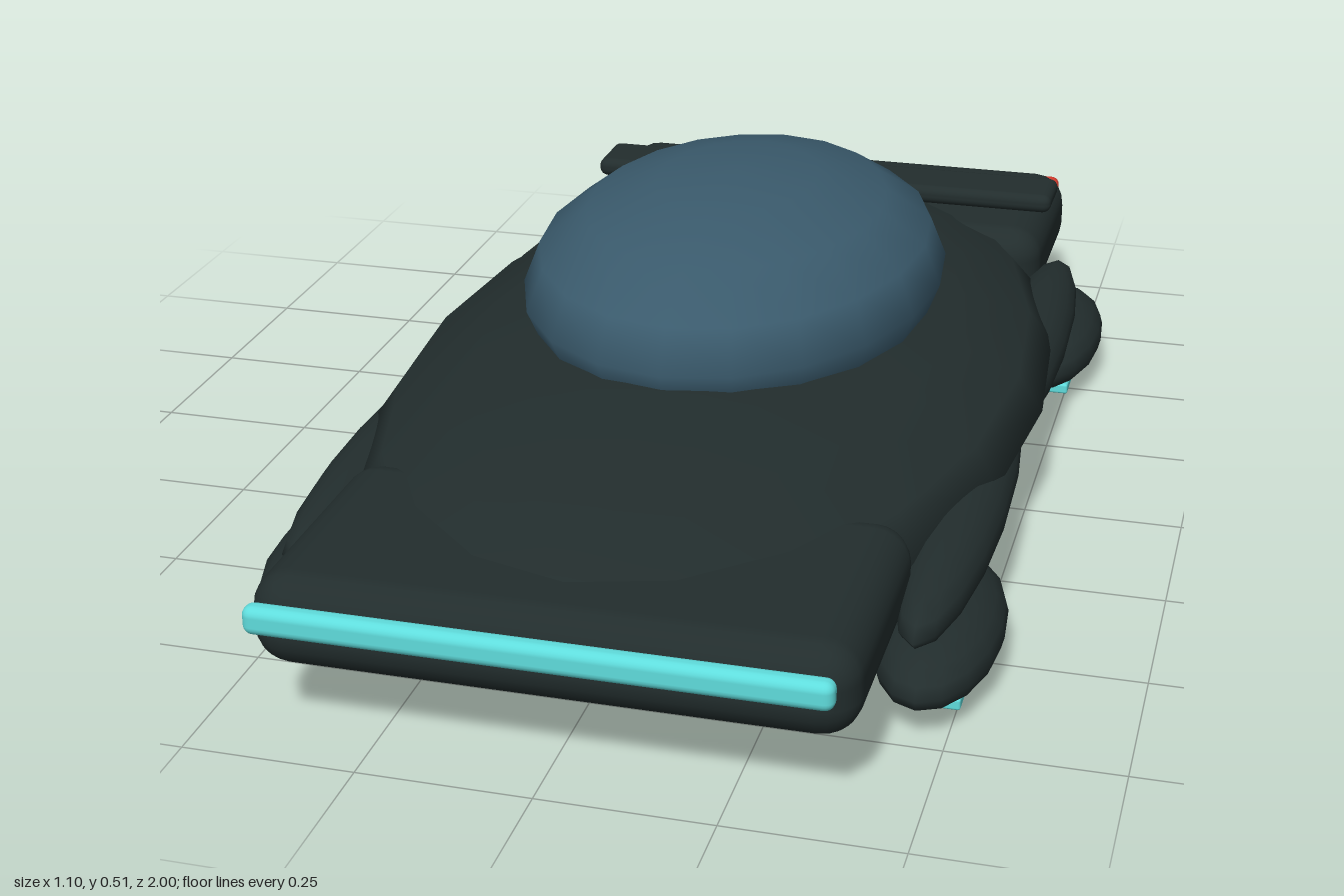
import * as THREE from 'three';
import { RoundedBoxGeometry } from 'three/addons/geometries/RoundedBoxGeometry.js';

const material = (name, color) => {
  const m = new THREE.MeshStandardMaterial({ color });
  m.name = name;
  return m;
};

export function createModel() {
  const group = new THREE.Group();
  const hull = material('dark hull', 0x222d2d);
  const glass = material('blue glass', 0x3a5a6c);
  const teal = material('teal light', 0x5fdcdc);
  const red = material('red light', 0xd23a2c);

  const add = (name, geometry, mat, [x, y, z]) => {
    const mesh = new THREE.Mesh(geometry, mat);
    mesh.name = name;
    mesh.position.set(x, y, z);
    group.add(mesh);
    return mesh;
  };
  // Ellipsoid given by its three radii
  const ellipsoid = (name, mat, position, radii, around = 20, rings = 8) =>
    add(name, new THREE.SphereGeometry(1, around, rings).scale(...radii), mat, position);
  // Rounded block given by its full size
  const block = (name, mat, position, size, radius) =>
    add(name, new RoundedBoxGeometry(...size, 3, radius), mat, position);

  // Hull and canopy
  ellipsoid('body', hull, [0, 0.177, 0], [0.52, 0.148, 0.955]);
  ellipsoid('canopy', glass, [0, 0.34, -0.085], [0.335, 0.17, 0.468]);

  // Nose, tail and spoiler
  block('nose', hull, [0, 0.173, 0.745], [0.84, 0.137, 0.42], 0.055);
  block('tail', hull, [0, 0.178, -0.775], [0.855, 0.145, 0.39], 0.055);
  block('spoiler', hull, [0, 0.268, -0.757], [0.86, 0.034, 0.115], 0.015);

  // Light bars
  block('frontLightBar', teal, [0, 0.206, 0.984], [0.8, 0.042, 0.032], 0.014);
  block('rearLightBar', red, [0, 0.206, -0.984], [0.82, 0.038, 0.032], 0.014);

  // Fenders, hover pods and glowing pads at the four corners
  for (const [sideName, s] of [['left', 1], ['right', -1]]) {
    for (const [endName, fenderZ, podZ] of [['Front', 0.33, 0.543], ['Rear', -0.33, -0.572]]) {
      const prefix = sideName + endName;
      ellipsoid(prefix + 'Fender', hull, [s * 0.45, 0.145, fenderZ], [0.065, 0.053, 0.4], 16, 10);
      ellipsoid(prefix + 'Pod', hull, [s * 0.459, 0.069, podZ], [0.09, 0.057, 0.208], 16, 10);
      block(prefix + 'Pad', teal, [s * 0.46, 0.009, podZ], [0.09, 0.018, 0.2], 0.004);
    }
  }
  return group;
}
